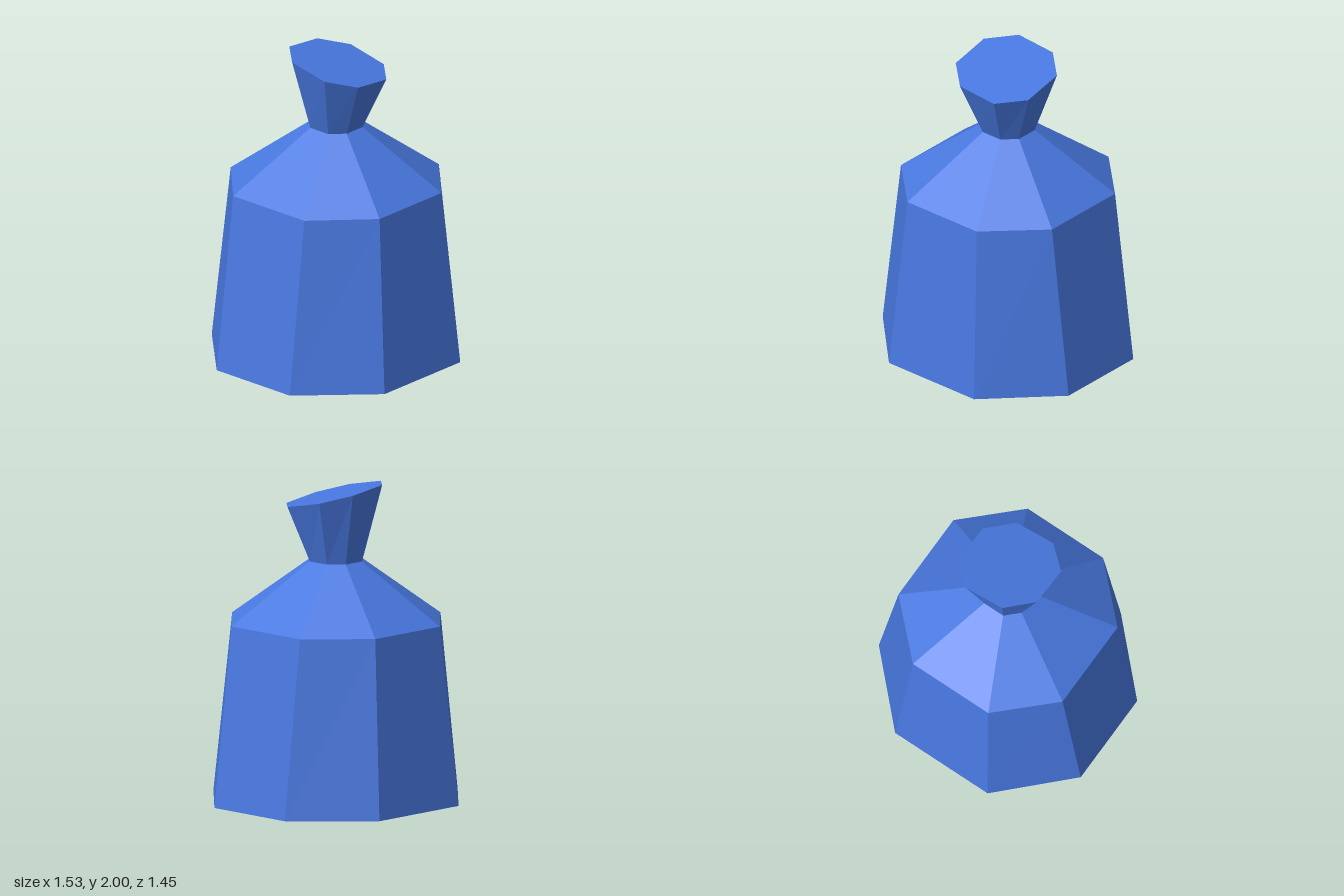
import * as THREE from 'three';

// Eight-sided ring: half width a and depth d of the front edge, half width c and depth b of the side edge
function octagon(y, a, d, c, b) {
  return [[-a, d], [a, d], [c, b], [c, -b], [a, -d], [-a, -d], [-c, -b], [-c, b]]
    .map(([x, z]) => new THREE.Vector3(x, y, z));
}

// Joins two rings with walls, optionally closing the lower or upper end
function band(name, low, high, material, capLow = false, capHigh = false) {
  const points = [];
  const n = low.length;
  for (let i = 0; i < n; i++) {
    const j = (i + 1) % n;
    points.push(low[i], low[j], high[j], low[i], high[j], high[i]);
  }
  for (let i = 1; i < n - 1; i++) {
    if (capLow) points.push(low[0], low[i + 1], low[i]);
    if (capHigh) points.push(high[0], high[i], high[i + 1]);
  }
  const geometry = new THREE.BufferGeometry().setFromPoints(points);
  geometry.computeVertexNormals();
  const mesh = new THREE.Mesh(geometry, material);
  mesh.name = name;
  return mesh;
}

export function createModel() {
  const group = new THREE.Group();
  group.name = 'sack';
  const blue = new THREE.MeshStandardMaterial({ color: 0x4878e0, flatShading: true });

  const base = octagon(0, 0.35, 0.725, 0.764, 0.307);
  const rim = octagon(1.13, 0.285, 0.625, 0.621, 0.299);
  const neck = octagon(1.508, 0.072, 0.156, 0.155, 0.075);

  // Slightly uneven mouth lying on a tilted plane
  const mouth = [
    [-0.13, 0.305], [0.14, 0.295], [0.287, 0.14], [0.285, -0.135],
    [0.13, -0.275], [-0.14, -0.265], [-0.29, -0.105], [-0.287, 0.165],
  ].map(([x, z]) => new THREE.Vector3(x, 1.925 - 0.12 * x - 0.21 * z, z));

  group.add(
    band('body', base, rim, blue, true),
    band('shoulder', rim, neck, blue),
    band('flaredNeck', neck, mouth, blue, false, true),
  );
  return group;
}
